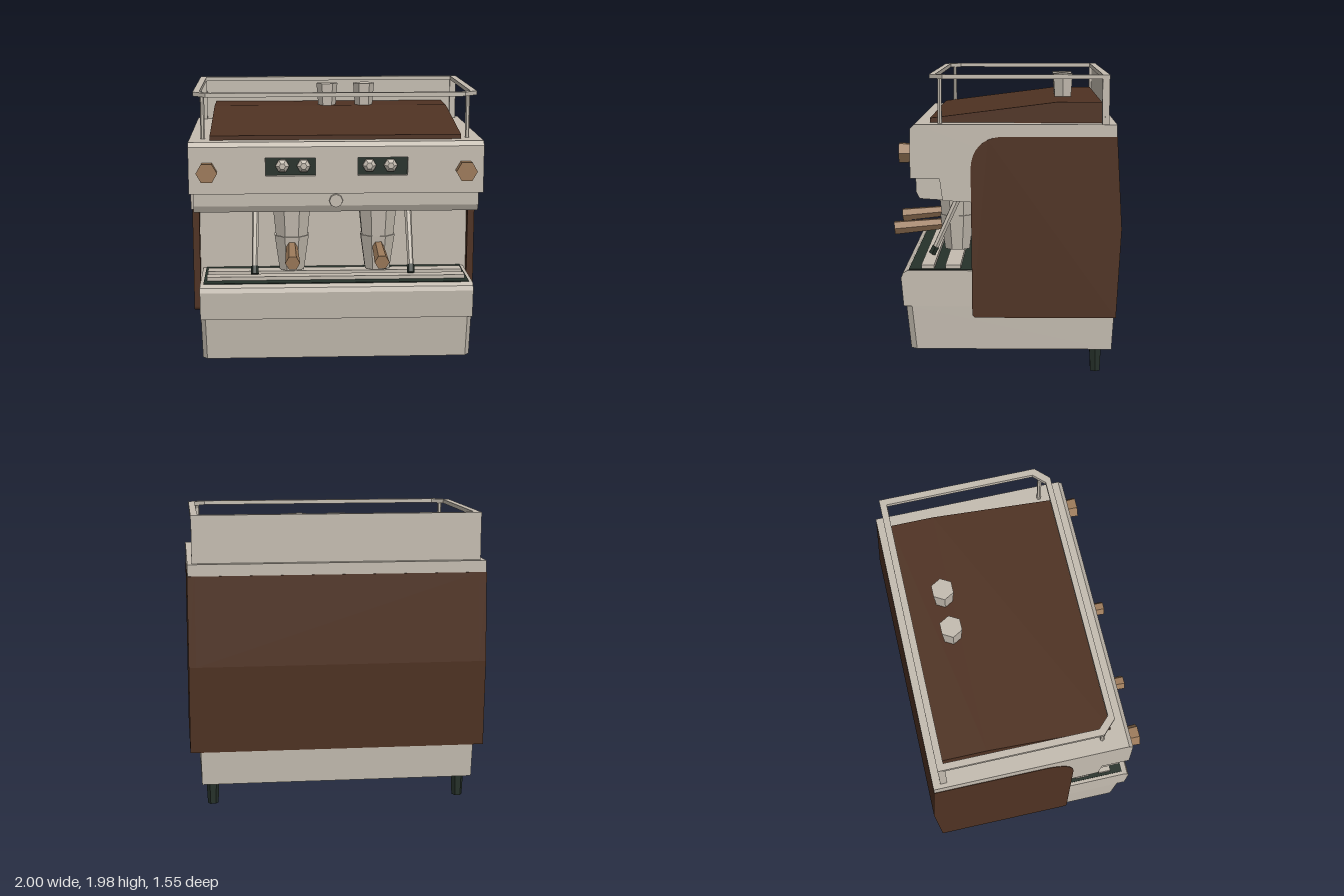
import * as THREE from 'three';

const mat = (name, color) => {
  const m = new THREE.MeshStandardMaterial({ color });
  m.name = name;
  return m;
};

export function createModel() {
  const cream = mat('cream metal', 0xc4bcb0);
  const brown = mat('dark brown panel', 0x4f3222);
  const wood = mat('light wood', 0x9c7a5a);
  const dark = mat('dark green rubber', 0x26312a);
  const model = new THREE.Group();
  model.name = 'espressoMachine';

  const add = (name, geometry, material) => {
    const mesh = new THREE.Mesh(geometry, material);
    mesh.name = name;
    model.add(mesh);
    return mesh;
  };
  const shapeOf = pts => new THREE.Shape(pts.map(p => new THREE.Vector2(p[0], p[1])));
  const flat = geometry => {
    const g = geometry.index ? geometry.toNonIndexed() : geometry;
    g.computeVertexNormals();
    return g;
  };
  // Box given by its limits
  const box = (name, material, x0, x1, y0, y1, z0, z1) =>
    add(name, new THREE.BoxGeometry(x1 - x0, y1 - y0, z1 - z0)
      .translate((x0 + x1) / 2, (y0 + y1) / 2, (z0 + z1) / 2), material);
  // Side profile in (z, y), extruded from x0 to x1
  const profile = (name, material, shape, x0, x1) =>
    add(name, new THREE.ExtrudeGeometry(shape, { depth: x1 - x0, bevelEnabled: false, curveSegments: 8 })
      .rotateY(-Math.PI / 2).translate(x1, 0, 0), material);
  // Floor outline in (x, z), extruded from y0 to y1
  const slab = (shape, y0, y1) =>
    new THREE.ExtrudeGeometry(shape, { depth: y1 - y0, bevelEnabled: false })
      .rotateX(Math.PI / 2).translate(0, y1, 0);
  // Faceted tapered rod from point a to point b
  const rod = (name, material, a, b, ra, rb, sides = 6) => {
    const A = new THREE.Vector3(...a), B = new THREE.Vector3(...b);
    const dir = B.clone().sub(A);
    const g = flat(new THREE.CylinderGeometry(rb, ra, dir.length(), sides, 1, false, Math.PI / 2));
    const mesh = add(name, g, material);
    mesh.position.copy(A).add(B).multiplyScalar(0.5);
    mesh.quaternion.setFromUnitVectors(new THREE.Vector3(0, 1, 0), dir.normalize());
    return mesh;
  };

  // Base, narrowing towards the floor
  const base = slab(shapeOf([[-0.932, -0.737], [0.932, -0.737], [0.932, 0.6], [0.9, 0.64], [-0.9, 0.64], [-0.932, 0.6]]), 0.16, 0.45);
  const bp = base.attributes.position;
  for (let i = 0; i < bp.count; i++) {
    if (bp.getY(i) < 0.3) bp.setXYZ(i, bp.getX(i) * 0.992, 0.16, bp.getZ(i) > 0 ? bp.getZ(i) - 0.03 : -0.72);
  }
  add('base', flat(base), cream);

  // Rear feet
  for (const s of [-1, 1]) rod('foot', dark, [s * 0.85, 0, -0.615], [s * 0.85, 0.165, -0.615], 0.036, 0.044);

  // Drip tray with dark bed and raised bars
  profile('dripTray', cream, shapeOf([[0, 0.45], [0.655, 0.45], [0.672, 0.64], [0.66, 0.672], [0.63, 0.69], [0, 0.69]]), -0.933, 0.933);
  box('trayBed', dark, -0.91, 0.91, 0.688, 0.695, 0.14, 0.622);
  for (const [z0, z1] of [[0.455, 0.54], [0.28, 0.38]]) box('trayBar', cream, -0.89, 0.89, 0.69, 0.72, z0, z1);

  // Inner body and upper housing
  box('innerBody', cream, -0.952, 0.952, 0.42, 1.2, -0.735, 0.14);
  profile('upperHousing', cream, shapeOf([[-0.738, 1.155], [0.2, 1.155], [0.39, 1.165], [0.41, 1.31], [0.56, 1.31], [0.56, 1.66], [-0.738, 1.66]]), -0.997, 0.997);
  profile('housingTopEdge', cream, shapeOf([[0.56, 1.63], [0.6, 1.63], [0.572, 1.66], [0.56, 1.66]]), -0.997, 0.997);
  profile('lowerLip', cream, shapeOf([[0.39, 1.165], [0.54, 1.175], [0.563, 1.22], [0.565, 1.31], [0.4, 1.31]]), -0.97, 0.97);

  // Front plate with two control recesses
  const front = shapeOf([[-0.997, 1.31], [0.997, 1.31], [0.997, 1.63], [-0.997, 1.63]]);
  for (const s of [-1, 1]) {
    const hole = new THREE.Path();
    hole.moveTo(s * 0.142, 1.432);
    hole.lineTo(s * 0.48, 1.432);
    hole.lineTo(s * 0.48, 1.555);
    hole.lineTo(s * 0.142, 1.555);
    hole.closePath();
    front.holes.push(hole);
    box('controlPanel', dark, s * 0.311 - 0.17, s * 0.311 + 0.17, 1.431, 1.556, 0.559, 0.565);
    for (const x of [0.222, 0.366]) {
      rod('controlDial', cream, [s * x, 1.497, 0.56], [s * x, 1.497, 0.585], 0.047, 0.047);
      rod('controlDialCap', cream, [s * x, 1.497, 0.585], [s * x, 1.497, 0.605], 0.047, 0.022);
    }
    rod('sideKnob', wood, [s * 0.872, 1.465, 0.59], [s * 0.872, 1.465, 0.678], 0.068, 0.072);
  }
  add('frontPlate', new THREE.ExtrudeGeometry(front, { depth: 0.04, bevelEnabled: false }).translate(0, 0, 0.56), cream);
  rod('frontButton', cream, [-0.003, 1.255, 0.55], [-0.003, 1.255, 0.582], 0.05, 0.045, 8);

  // Brown side panels with rounded front corners, and bowed back panel
  const side = new THREE.Shape();
  side.moveTo(-0.742, 0.39);
  side.lineTo(0.17, 0.39);
  side.quadraticCurveTo(0.198, 0.39, 0.199, 0.42);
  side.lineTo(0.207, 1.38);
  side.bezierCurveTo(0.2, 1.5, 0.13, 1.57, 0.02, 1.58);
  side.lineTo(-0.74, 1.582);
  side.lineTo(-0.774, 0.98);
  side.closePath();
  profile('sidePanel', brown, side, 0.952, 1);
  profile('sidePanel', brown, side, -1, -0.952);
  profile('backPanel', brown, shapeOf([[-0.7, 0.39], [-0.7, 1.582], [-0.74, 1.582], [-0.774, 0.98], [-0.742, 0.39]]), -0.952, 0.952);

  // Sloping top deck
  profile('topDeck', brown, shapeOf([[0.478, 1.655], [0.478, 1.69], [-0.35, 1.795], [-0.645, 1.795], [-0.645, 1.655]]), -0.855, 0.855);

  // Cup rail, posts and rear guard
  const outline = (x, zb, zf, c) => [[-x, zb], [x, zb], [x, zf - c], [x - c, zf], [c - x, zf], [-x, zf - c]];
  const rail = shapeOf(outline(0.97, -0.69, 0.478, 0.09));
  rail.holes.push(shapeOf(outline(0.925, -0.645, 0.44, 0.075)));
  add('cupRail', slab(rail, 1.95, 1.978), cream);
  box('rearGuard', cream, -0.968, 0.968, 1.65, 1.955, -0.688, -0.66);
  for (const s of [-1, 1]) {
    box('rearPost', cream, s * 0.945 - 0.022, s * 0.945 + 0.022, 1.65, 1.955, -0.67, -0.642);
    rod('frontPost', cream, [s * 0.905, 1.65, 0.41], [s * 0.905, 1.955, 0.41], 0.015, 0.015);
  }

  // Cups on the deck
  for (const x of [-0.025, 0.247]) rod('cup', cream, [x, 1.785, -0.405], [x, 1.955, -0.405], 0.064, 0.078);

  // Brewing heads with handled filters
  for (const s of [-1, 1]) {
    const x = s * 0.3 - 0.003;
    const head = (name, y0, y1, r0, r1) => {
      const g = flat(new THREE.CylinderGeometry(r1, r0, y1 - y0, 8, 1, false, Math.PI / 8));
      add(name, g, cream).position.set(x, (y0 + y1) / 2, 0.33);
    };
    head('brewHead', 0.96, 1.18, 0.117, 0.14);
    head('filterHolder', 0.73, 0.975, 0.092, 0.128);
    rod('filterHandle', wood, [x, 0.905, 0.4], [x, 0.87, 0.772], 0.04, 0.05);
  }

  // Steam wands with dark tips
  for (const x of [-0.553, 0.513]) {
    const o = Math.sign(x) * 0.008;
    rod('steamWand', cream, [x, 1.18, 0.285], [x + o, 0.775, 0.47], 0.025, 0.021);
    rod('steamTip', dark, [x + o, 0.778, 0.469], [x + o, 0.728, 0.495], 0.027, 0.027);
  }

  return model;
}
